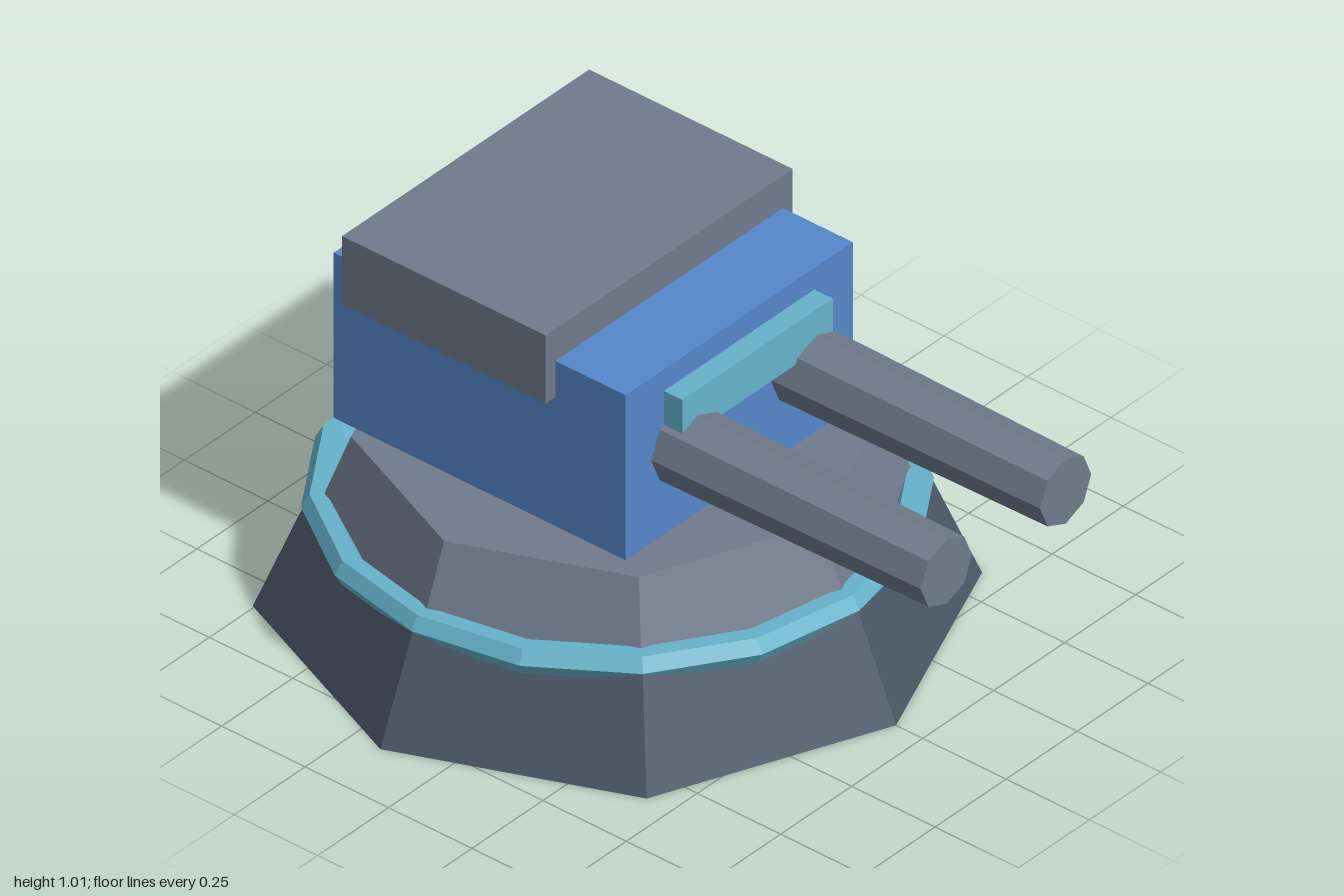
import * as THREE from 'three';

const mat = (name, color) => {
  const m = new THREE.MeshStandardMaterial({ color, flatShading: true });
  m.name = name;
  return m;
};

export function createModel() {
  const slate = mat('darkSlate', 0x4b5768);
  const gray = mat('steelGray', 0x707b8c);
  const blue = mat('blue', 0x5687cb);
  const cyan = mat('cyan', 0x66b3cb);

  const model = new THREE.Group();
  model.name = 'turret';
  const add = (name, geometry, material, x, y, z) => {
    const mesh = new THREE.Mesh(geometry, material);
    mesh.name = name;
    mesh.position.set(x, y, z);
    model.add(mesh);
  };
  // box from its limits
  const box = (name, material, halfW, y0, y1, z0, z1) =>
    add(name, new THREE.BoxGeometry(halfW * 2, y1 - y0, z1 - z0), material, 0, (y0 + y1) / 2, (z0 + z1) / 2);

  const cz = -0.165; // centre of the octagonal base

  // Stepped octagonal pedestal
  add('lowerBase', new THREE.CylinderGeometry(0.72, 0.835, 0.27, 8), slate, 0, 0.135, cz);
  add('upperBase', new THREE.CylinderGeometry(0.61, 0.685, 0.19, 8), gray, 0, 0.365, cz);

  // Glowing ring around the joint
  add('baseRing', new THREE.TorusGeometry(0.685, 0.04, 6, 16).rotateX(Math.PI / 2), cyan, 0, 0.27, cz);

  // Gun housing, roof armour and front sight
  box('housing', blue, 0.4, 0.46, 0.92, -0.675, 0.2);
  box('roofArmour', gray, 0.435, 0.82, 1.01, -0.62, -0.01);
  box('frontSight', cyan, 0.265, 0.745, 0.86, 0.15, 0.255);

  // Twin tapered octagonal barrels
  for (const [name, x] of [['leftBarrel', 0.21], ['rightBarrel', -0.21]]) {
    add(name, new THREE.CylinderGeometry(0.09, 0.1, 0.85, 8).rotateX(Math.PI / 2), gray, x, 0.69, 0.575);
  }
  return model;
}
